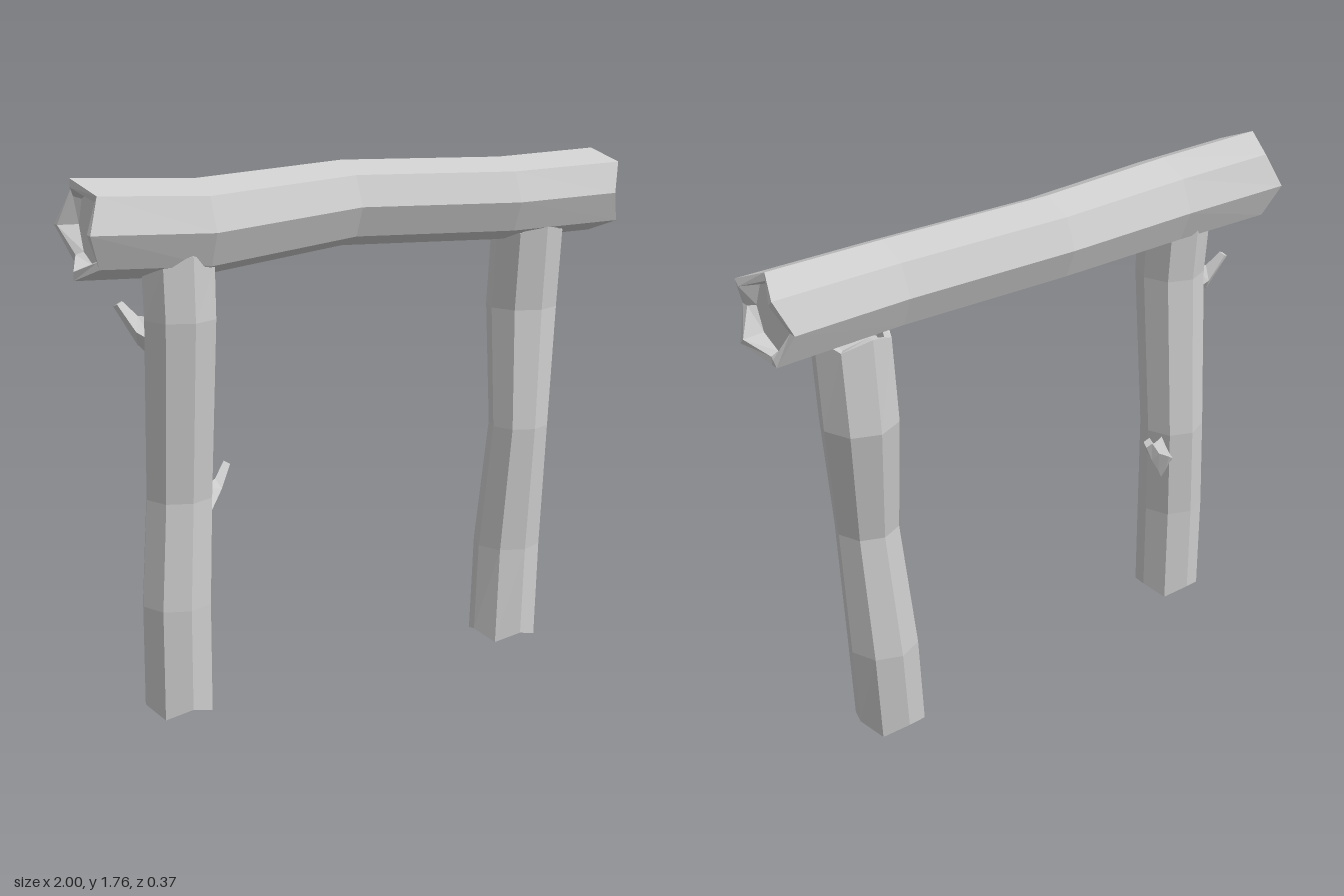
import * as THREE from 'three';

const V = (x, y, z) => new THREE.Vector3(x, y, z);

// Skin a list of equal rings (counter-clockwise about the travel direction), with closed ends.
function loft(rings) {
  const pos = [];
  const tri = (...pts) => pts.forEach((p) => pos.push(p.x, p.y, p.z));
  const middle = (ring) => ring.reduce((s, p) => s.add(p), V(0, 0, 0)).divideScalar(ring.length);
  const n = rings[0].length;
  const first = rings[0], last = rings[rings.length - 1];
  const c0 = middle(first), c1 = middle(last);
  for (let i = 0; i < n; i++) {
    const j = (i + 1) % n;
    for (let k = 0; k + 1 < rings.length; k++) {
      const a = rings[k], b = rings[k + 1];
      tri(a[i], a[j], b[j]);
      tri(a[i], b[j], b[i]);
    }
    tri(c0, first[j], first[i]);
    tri(c1, last[i], last[j]);
  }
  const geo = new THREE.BufferGeometry();
  geo.setAttribute('position', new THREE.Float32BufferAttribute(pos, 3));
  geo.computeVertexNormals();
  return geo;
}

// Eight-sided log with notched, hollowed ends. Each section is [x, y, z, radius].
function logGeometry(axis, sections, notch, depth = 0.045) {
  const ring = ([x, y, z, r], scale, zigzag, shift) =>
    Array.from({ length: 8 }, (_, i) => {
      const a = (i * Math.PI) / 4;
      const c = Math.cos(a) * r * scale, s = Math.sin(a) * r * scale;
      const along = shift + (i % 2 ? -zigzag : zigzag);
      return axis === 'x' ? V(x + along, y + c, z + s) : V(x + s, y + along, z + c);
    });
  const a = sections[0], b = sections[sections.length - 1];
  return loft([
    ring(a, 0.74, 0, depth),
    ring(a, 0.82, notch, 0),
    ring(a, 1, notch, 0),
    ...sections.slice(1, -1).map((s) => ring(s, 1, 0, 0)),
    ring(b, 1, notch, 0),
    ring(b, 0.82, notch, 0),
    ring(b, 0.74, 0, -depth),
  ]);
}

// Broken twig: each row is [low distance, low y, high distance, high y, half width].
function twigGeometry(x, z, dx, dz, rows) {
  const d = V(dx, 0, dz).normalize();
  const side = d.clone().cross(V(0, 1, 0));
  return loft(rows.map(([h0, y0, h1, y1, w]) => {
    const at = (h, y) => V(x + d.x * h, y, z + d.z * h);
    const low = at(h0, y0), high = at(h1, y1);
    const mid = low.clone().lerp(high, 0.5);
    return [high, mid.clone().addScaledVector(side, w), low, mid.clone().addScaledVector(side, -w)];
  }));
}

export function createModel() {
  const group = new THREE.Group();
  group.name = 'logGate';
  const wood = new THREE.MeshStandardMaterial({ color: 0xcccccc, flatShading: true });
  wood.name = 'paleGreyWood';
  const add = (name, geometry) => {
    const mesh = new THREE.Mesh(geometry, wood);
    mesh.name = name;
    group.add(mesh);
  };

  // Crooked beam across the top
  add('beam', logGeometry('x', [
    [-0.975, 1.61, 0, 0.155],
    [-0.6, 1.595, 0.03, 0.152],
    [-0.04, 1.628, -0.05, 0.141],
    [0.55, 1.613, 0, 0.142],
    [0.98, 1.62, -0.018, 0.146],
  ], -0.021));

  // Two crooked posts
  add('rightPost', logGeometry('y', [
    [-0.7, 0.023, 0.016, 0.118],
    [-0.697, 0.38, 0.016, 0.118],
    [-0.67, 0.73, -0.003, 0.113],
    [-0.67, 1.32, 0.043, 0.12],
    [-0.667, 1.51, 0.03, 0.122],
  ], 0.016));
  add('leftPost', logGeometry('y', [
    [0.61, 0.023, -0.008, 0.121],
    [0.635, 0.35, -0.025, 0.12],
    [0.655, 0.8, 0.003, 0.106],
    [0.695, 1.22, -0.052, 0.126],
    [0.695, 1.51, -0.028, 0.126],
  ], 0.016));

  // Broken twigs on the right post
  add('lowerTwig', twigGeometry(-0.675, 0, 0.22, -0.12, [
    [0.08, 0.52, 0.08, 0.715, 0.045],
    [0.13, 0.585, 0.13, 0.72, 0.038],
    [0.21, 0.67, 0.2, 0.735, 0.024],
    [0.28, 0.76, 0.25, 0.785, 0.016],
  ]));
  add('upperTwig', twigGeometry(-0.67, 0.04, -0.17, -0.09, [
    [0.08, 1.18, 0.08, 1.32, 0.045],
    [0.135, 1.235, 0.13, 1.325, 0.036],
    [0.205, 1.355, 0.177, 1.372, 0.015],
  ]));

  return group;
}
